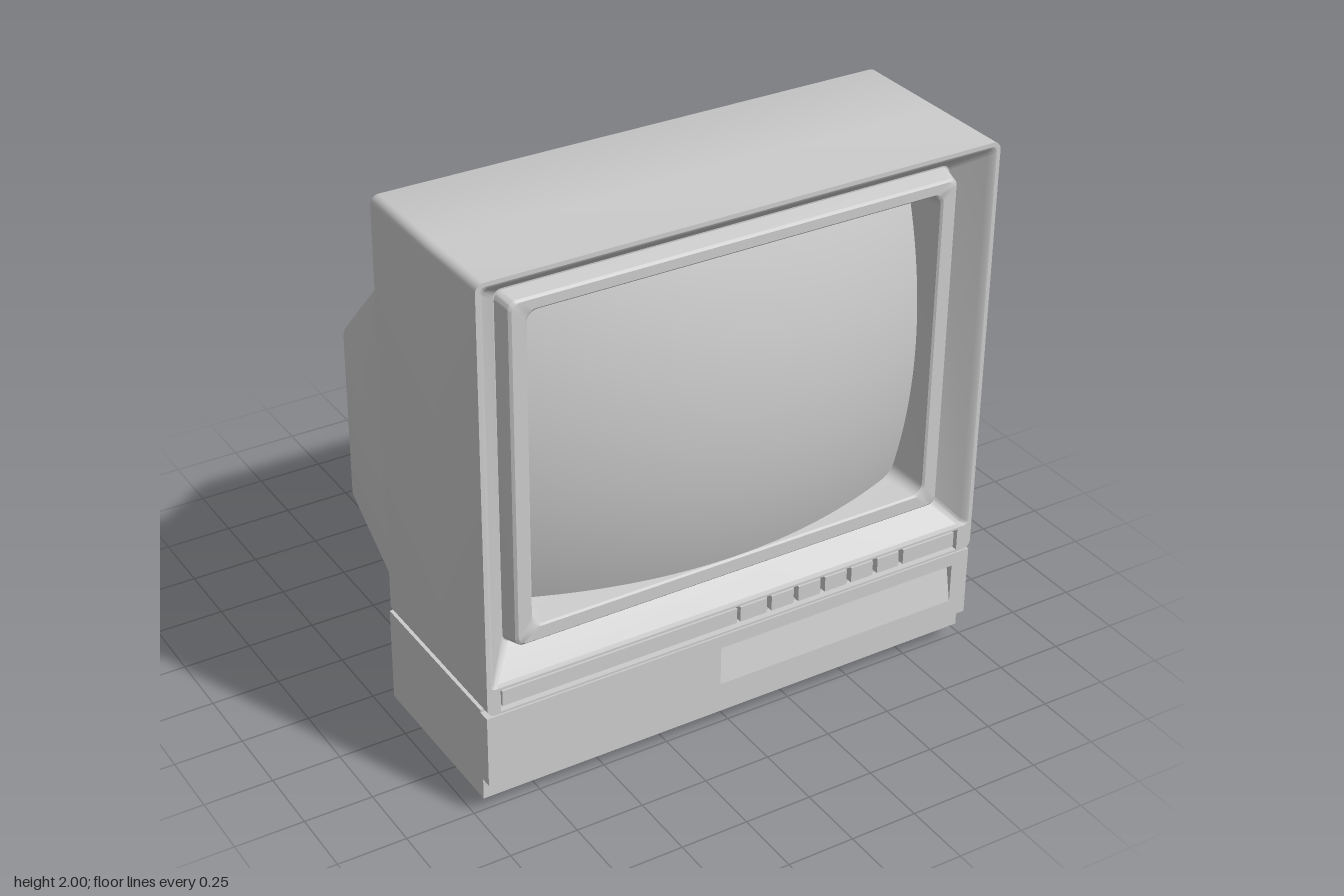
import * as THREE from 'three';
import { toCreasedNormals } from 'three/addons/utils/BufferGeometryUtils.js';

const solid = new THREE.MeshStandardMaterial({ color: 0xcccccc });
const thin = new THREE.MeshStandardMaterial({ color: 0xcccccc, side: THREE.DoubleSide });

// Counter-clockwise rounded rectangle, centred on x = 0
function ring([hw, y0, y1, r], segs = 6) {
  const pts = [];
  const corners = [[hw - r, y1 - r], [-hw + r, y1 - r], [-hw + r, y0 + r], [hw - r, y0 + r]];
  corners.forEach(([cx, cy], c) => {
    for (let i = 0; i <= segs; i++) {
      const a = (c + i / segs) * Math.PI / 2;
      pts.push(new THREE.Vector2(cx + r * Math.cos(a), cy + r * Math.sin(a)));
    }
  });
  return pts;
}

// Skin through rounded-rectangle sections [halfWidth, y0, y1, radius, z]
function loft(sections) {
  const pos = [], idx = [], n = ring(sections[0]).length;
  sections.forEach((s, k) => {
    ring(s).forEach((p, i) => {
      pos.push(p.x, p.y, s[4]);
      if (k === sections.length - 1) return;
      const a = k * n + i, b = k * n + (i + 1) % n;
      idx.push(a, b, b + n, a, b + n, a + n);
    });
  });
  const g = new THREE.BufferGeometry();
  g.setAttribute('position', new THREE.Float32BufferAttribute(pos, 3));
  g.setIndex(idx);
  return toCreasedNormals(g, 0.6);
}

function rectPath(x0, x1, y0, y1) {
  return new THREE.Path([[x0, y0], [x1, y0], [x1, y1], [x0, y1]].map(p => new THREE.Vector2(...p)));
}

function rectShape(x0, x1, y0, y1) {
  return new THREE.Shape(rectPath(x0, x1, y0, y1).getPoints());
}

function extrude(shape, z0, z1) {
  return new THREE.ExtrudeGeometry(shape, { depth: z1 - z0, bevelEnabled: false, curveSegments: 32 }).translate(0, 0, z0);
}

export function createModel() {
  const model = new THREE.Group();
  const add = (name, geo, mat = solid) => {
    const m = new THREE.Mesh(geo, mat);
    m.name = name;
    model.add(m);
    return m;
  };
  const box = (name, x0, x1, y0, y1, z0, z1) =>
    add(name, new THREE.BoxGeometry(x1 - x0, y1 - y0, z1 - z0)
      .translate((x0 + x1) / 2, (y0 + y1) / 2, (z0 + z1) / 2));

  // Cabinet: rear block, then a front plate with the screen and control openings
  add('cabinet', loft([[0.96, 0.42, 1.99, 0.025, 0.11], [0.967, 0.42, 1.997, 0.03, 0.114],
    [0.97, 0.42, 2, 0.03, 0.122], [0.97, 0.42, 2, 0.03, 0.5]]));
  add('cabinetBack', new THREE.ShapeGeometry(rectShape(-0.96, 0.96, 0.06, 1.98)).translate(0, 0, 0.111), thin);
  const plate = new THREE.Shape(ring([0.97, 0.42, 2, 0.03]));
  plate.holes.push(new THREE.Path(ring([0.955, 0.52, 1.985, 0.02])), rectPath(-0.92, 0.91, 0.428, 0.512));
  add('frontPlate', toCreasedNormals(extrude(plate, 0.5, 0.81), 0.6));

  // Sloping surround, raised screen frame and opening wall
  add('screenSurround', loft([
    [0.955, 0.52, 1.985, 0.02, 0.81], [0.945, 0.52, 1.975, 0.02, 0.805], [0.935, 0.522, 1.965, 0.02, 0.79],
    [0.853, 0.607, 1.9, 0.03, 0.7], [0.85, 0.61, 1.895, 0.03, 0.7],
    [0.837, 0.622, 1.884, 0.03, 0.762], [0.828, 0.63, 1.876, 0.03, 0.77],
    [0.782, 0.677, 1.842, 0.04, 0.77], [0.775, 0.684, 1.836, 0.04, 0.764],
    [0.745, 0.695, 1.822, 0.05, 0.58]]));

  // Bulging glass
  const glass = new THREE.PlaneGeometry(1.58, 1.2, 48, 40);
  const p = glass.attributes.position;
  for (let i = 0; i < p.count; i++) {
    const x = p.getX(i), y = p.getY(i);
    p.setZ(i, 0.852 - (x * x + y * y) / 3.7);
  }
  glass.computeVertexNormals();
  add('screen', glass.translate(0, 1.26, 0));

  // Control strip
  box('controlRecess', -0.93, 0.92, 0.42, 0.52, 0.74, 0.775);
  const cuts = [[-0.91, -0.008], [0.006, 0.112], [0.132, 0.222], [0.242, 0.332],
    [0.352, 0.442, ], [0.462, 0.552], [0.572, 0.662], [0.682, 0.9]];
  cuts.forEach(([a, b], i) => box(i ? 'button' + i : 'controlStrip', a, b, 0.441, 0.499, 0.77, 0.803));

  // Lower cabinet with a sloping recessed flap
  box('plinth', -0.97, 0.97, 0.06, 0.14, 0.11, 0.765);
  box('lowerCabinet', -0.97, 0.97, 0.14, 0.42, 0.11, 0.76);
  const panel = rectShape(-0.97, 0.97, 0.14, 0.41);
  panel.holes.push(rectPath(-0.07, 0.9, 0.21, 0.36));
  add('lowerPanel', extrude(panel, 0.74, 0.805));
  const flap = new THREE.PlaneGeometry(0.97, Math.hypot(0.15, 0.03));
  flap.rotateX(-Math.atan2(0.03, 0.15)).translate(0.415, 0.285, 0.789);
  add('flap', flap, thin);

  // Tapered rear housing: [z, bottom, top, side inset, corner radius]
  const rear = [[-0.85, 0.268, 0.945, 0.018, 0.02], [-0.848, 0.256, 0.965, 0.008, 0.026],
    [-0.84, 0.25, 0.982, 0.002, 0.03], [-0.825, 0.25, 1.0, 0, 0.03], [-0.11, 0.116, 1.642, 0, 0.035],
    [-0.085, 0.112, 1.661, 0, 0.035], [-0.06, 0.109, 1.674, 0, 0.035], [-0.03, 0.107, 1.68, 0, 0.035],
    [0.115, 0.1, 1.68, 0, 0.035]].map(([z, y0, y1, inset, r]) =>
    [0.655 + (z + 0.85) * 0.161 - inset, y0, y1, r, z]);
  add('rearHousing', loft(rear));
  const back = new THREE.Shape(ring(rear[0]));
  back.holes.push(rectPath(-0.58, -0.19, 0.6, 0.78));
  add('rearPanel', new THREE.ShapeGeometry(back).translate(0, 0, -0.85), thin);

  // Socket recess with two rows of pins
  const walls = rectShape(-0.6, -0.17, 0.58, 0.8);
  walls.holes.push(rectPath(-0.58, -0.19, 0.6, 0.78));
  add('socketWalls', extrude(walls, -0.849, -0.76));
  box('socketFloor', -0.6, -0.17, 0.58, 0.8, -0.77, -0.75);
  for (let c = 0; c < 4; c++) for (const y of [0.65, 0.73]) {
    add('socket', new THREE.CylinderGeometry(0.024, 0.024, 0.04, 16)
      .rotateX(Math.PI / 2).translate(-0.25 - c * 0.09, y, -0.785));
    add('socketPin', new THREE.CylinderGeometry(0.009, 0.009, 0.05, 10)
      .rotateX(Math.PI / 2).translate(-0.25 - c * 0.09, y, -0.81));
  }

  // Rounded support tongue under the rear housing
  const tongue = new THREE.Shape();
  tongue.moveTo(-0.37, 0.12);
  tongue.quadraticCurveTo(-0.3, 0.04, -0.3, -0.1);
  tongue.lineTo(-0.3, -0.335);
  tongue.absarc(0, -0.335, 0.3, Math.PI, 2 * Math.PI, false);
  tongue.lineTo(0.3, -0.1);
  tongue.quadraticCurveTo(0.3, 0.04, 0.37, 0.12);
  add('supportTongue', toCreasedNormals(extrude(tongue, 0, 0.19).rotateX(Math.PI / 2).translate(0, 0.25, 0), 0.6));

  // Feet
  for (const [x, z] of [[-0.83, 0.605], [0.83, 0.605], [0, -0.43]])
    add('foot', new THREE.CylinderGeometry(0.07, 0.07, 0.07, 32).translate(x, 0.035, z));

  return model;
}
